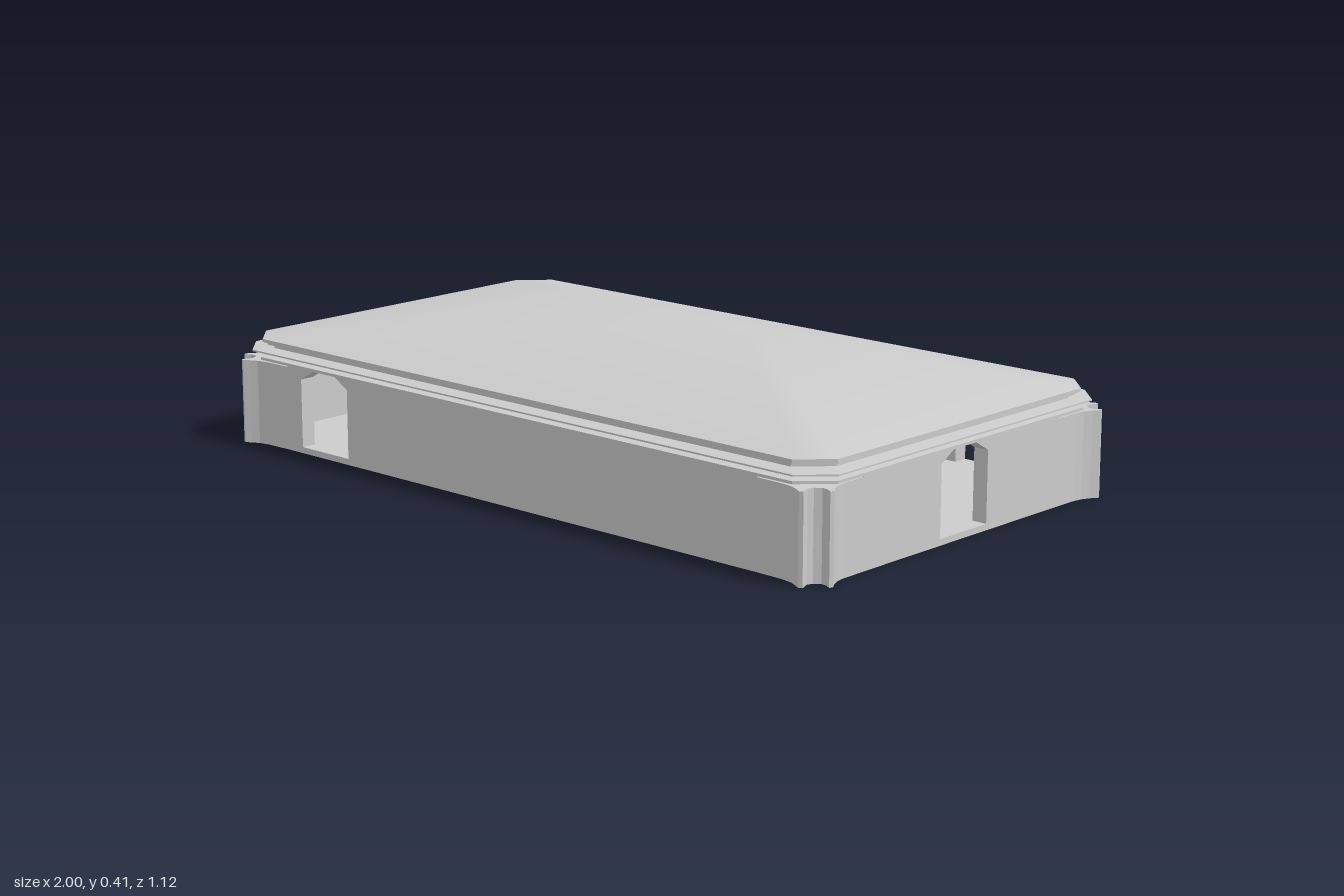
import * as THREE from 'three';
import { mergeVertices } from 'three/addons/utils/BufferGeometryUtils.js';

const material = new THREE.MeshStandardMaterial({ color: 0xcccccc, side: THREE.DoubleSide });

// Outer edge of one corner in plan (x, z): two flared wall ends with a notch between
const cornerEdge = [
  [0.8, 0.533], [0.88, 0.535], [0.91, 0.541], [0.93, 0.551], [0.945, 0.56], [0.955, 0.556],
  [0.945, 0.53], [0.95, 0.515], [0.965, 0.503], [0.98, 0.505],
  [0.996, 0.514], [1.0, 0.505], [0.988, 0.487], [0.978, 0.465], [0.974, 0.44], [0.973, 0.37],
];
const cornerInside = [[0.933, 0.37], [0.933, 0.493], [0.8, 0.493]];

function addMesh(group, name, geometry) {
  const mesh = new THREE.Mesh(geometry, material);
  mesh.name = name;
  group.add(mesh);
  return mesh;
}

function shapeOf(points) {
  return new THREE.Shape(points.map(([x, y]) => new THREE.Vector2(x, y)));
}

// Upright prism over a plan outline
function prism(points, y0, y1) {
  const g = new THREE.ExtrudeGeometry(shapeOf(points), { depth: y1 - y0, bevelEnabled: false });
  return g.rotateX(-Math.PI / 2).translate(0, y0, 0);
}

// Rectangle with cut corners, at half depth hz
function octagon(hz, y, cut = 0.072) {
  const hx = hz + 0.44;
  return [
    [hx, y, hz - cut], [hx - cut, y, hz], [cut - hx, y, hz], [-hx, y, hz - cut],
    [-hx, y, cut - hz], [cut - hx, y, -hz], [hx - cut, y, -hz], [hx, y, cut - hz],
  ];
}

// Skin over eight-sided sections, from the bottom up
function loft(sections, closeBottom) {
  const index = [];
  for (let s = 0; s < sections.length - 1; s++) {
    for (let i = 0; i < 8; i++) {
      const a = s * 8 + i, b = s * 8 + (i + 1) % 8;
      index.push(a, a + 8, b, b, a + 8, b + 8);
    }
  }
  if (closeBottom) for (let i = 1; i < 7; i++) index.push(0, i, i + 1);
  const g = new THREE.BufferGeometry();
  g.setAttribute('position', new THREE.Float32BufferAttribute(sections.flat(2), 3));
  g.setIndex(index);
  return g;
}

// Wall panel facing +z, with a door at each given position
function wallPanel(halfLength, doors) {
  const shape = shapeOf([[-halfLength, 0.015], [halfLength, 0.015], [halfLength, 0.226], [-halfLength, 0.226]]);
  for (const d of doors) {
    const door = [[-0.088, 0.016], [-0.088, 0.195], [-0.042, 0.222], [0.042, 0.222], [0.088, 0.195], [0.088, 0.016]];
    shape.holes.push(new THREE.Path(door.map(([x, y]) => new THREE.Vector2(d + x, y))));
  }
  return new THREE.ExtrudeGeometry(shape, { depth: 0.04, bevelEnabled: false });
}

export function createModel() {
  const model = new THREE.Group();
  model.name = 'pavilion';

  // Floor slab following the whole plan
  const flip = (sx, sz) => cornerEdge.map(([x, z]) => [sx * x, sz * z]);
  const outline = [
    ...flip(1, 1), ...flip(1, -1).reverse(), ...flip(-1, -1), ...flip(-1, 1).reverse(),
  ];
  addMesh(model, 'floor', prism(outline, 0, 0.016));

  // Flared, notched corners
  const posts = new THREE.Group();
  posts.name = 'cornerPosts';
  for (const sx of [-1, 1]) {
    for (const sz of [-1, 1]) {
      const plan = [...cornerEdge, ...cornerInside].map(([x, z]) => [sx * x, sz * z]);
      addMesh(posts, 'cornerPost', prism(plan, 0.015, 0.22));
    }
  }
  model.add(posts);

  // Walls: one door in front, two behind, one at each end
  addMesh(model, 'frontWall', wallPanel(0.8, [-0.66])).position.z = 0.493;
  const back = addMesh(model, 'backWall', wallPanel(0.8, [-0.66, 0.66]));
  back.rotation.y = Math.PI;
  back.position.z = -0.493;
  for (const side of [-1, 1]) {
    const end = addMesh(model, side > 0 ? 'leftWall' : 'rightWall', wallPanel(0.37, [0]));
    end.rotation.y = side * Math.PI / 2;
    end.position.x = side * 0.933;
  }

  // Stepped cornice: half depth and height of each step
  const steps = [
    [0.535, 0.223], [0.535, 0.23], [0.505, 0.232], [0.505, 0.242], [0.535, 0.243], [0.55, 0.246],
    [0.55, 0.25], [0.51, 0.254], [0.51, 0.26], [0.522, 0.263], [0.522, 0.268], [0.531, 0.27], [0.531, 0.278],
  ];
  const cornice = loft(steps.map(([hz, y]) => octagon(hz, y)), true).toNonIndexed();
  cornice.computeVertexNormals();
  addMesh(model, 'cornice', cornice);

  // Hipped roof rising to a short ridge
  const eave = octagon(0.531, 0.278);
  const ridge = eave.map(([x]) => [Math.sign(x) * 0.3, 0.41, 0]);
  const roof = mergeVertices(loft([eave, ridge], false));
  roof.computeVertexNormals();
  addMesh(model, 'roof', roof);

  return model;
}
